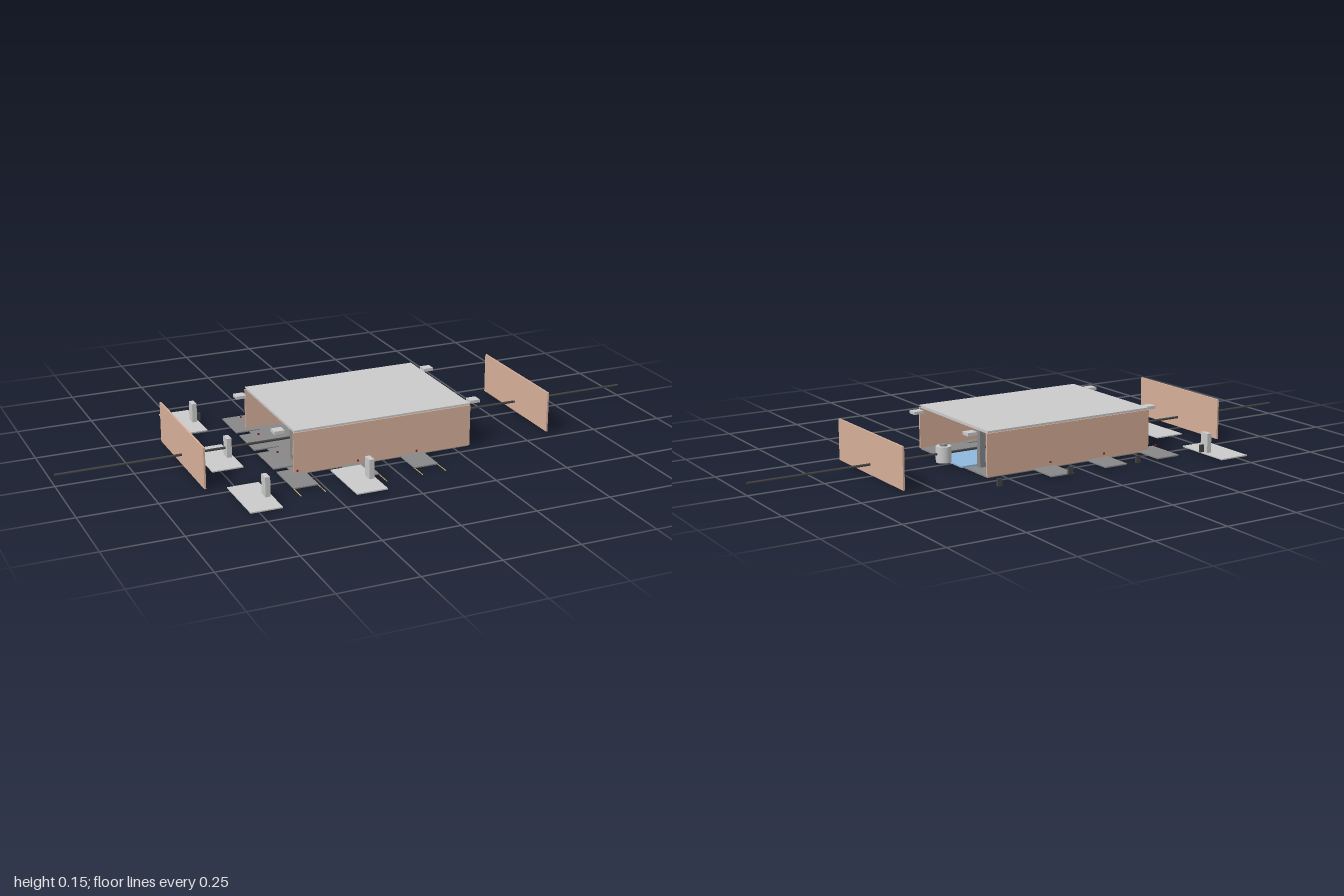
import * as THREE from 'three';

const mat = (color) => new THREE.MeshStandardMaterial({ color });
const grey = mat(0xcccccc);
const dark = mat(0x888888);
const black = mat(0x444444);
const tan = mat(0xd8b09a);
const blue = mat(0x8fb8de);
const red = mat(0x7a2020);
const yellow = mat(0xc8b060);

export function createModel() {
  const root = new THREE.Group();

  const add = (name, geometry, material, x, y, z) => {
    const mesh = new THREE.Mesh(geometry, material);
    mesh.name = name;
    mesh.position.set(x, y, z);
    root.add(mesh);
    return mesh;
  };
  // Box given by its lowest and highest corner
  const box = (name, material, x0, x1, y0, y1, z0, z1) =>
    add(name, new THREE.BoxGeometry(x1 - x0, y1 - y0, z1 - z0), material,
      (x0 + x1) / 2, (y0 + y1) / 2, (z0 + z1) / 2);

  // Case: floor, lid with inner step, two long walls; the ends are open
  box('floor', dark, -0.302, 0.302, 0, 0.005, -0.212, 0.212);
  box('lid', grey, -0.302, 0.302, 0.145, 0.149, -0.217, 0.217);
  box('lidStep', grey, -0.3, 0.3, 0.139, 0.145, -0.212, 0.212);
  for (const s of [-1, 1]) {
    const z = s * 0.213;
    box('longWall', tan, -0.305, 0.305, 0.004, 0.141, z - 0.003, z + 0.003);
  }

  // End panels pulled away from the case, and the rod through them
  for (const s of [-1, 1]) {
    const x = s * 0.592;
    box('endPanel', tan, x - 0.003, x + 0.003, 0.005, 0.14, -0.215, 0.215);
  }
  add('axisRod', new THREE.CylinderGeometry(0.004, 0.004, 2, 12), black, 0, 0.038, 0)
    .rotation.z = Math.PI / 2;

  // Corner clips under the lid edge
  for (const sx of [-1, 1]) for (const sz of [-1, 1]) {
    const x = sx * 0.338, z = sz * 0.17;
    box('cornerClip', grey, x - 0.017, x + 0.017, 0.133, 0.143, z - 0.016, z + 0.016);
  }

  // Tray and round fitting at the left end
  box('tray', blue, 0.15, 0.32, 0.006, 0.011, -0.085, 0.085);
  add('fitting', new THREE.CylinderGeometry(0.025, 0.025, 0.052, 24), grey, 0.336, 0.036, 0);
  add('fittingCap', new THREE.CylinderGeometry(0.012, 0.012, 0.006, 16), dark, 0.336, 0.065, 0);

  // Inner posts between floor and lid
  for (const s of [-1, 1]) {
    const x = s * 0.257, z = -s * 0.1;
    box('innerPost', dark, x - 0.01, x + 0.01, 0.005, 0.139, z - 0.01, z + 0.01);
  }

  // Dark foot pads with a small pin above each
  const footPad = (x, z) => {
    box('footPad', dark, x - 0.041, x + 0.041, 0.004, 0.008, z - 0.07, z + 0.07);
    add('pin', new THREE.CylinderGeometry(0.003, 0.003, 0.005, 8), red, x, 0.031, z);
  };
  for (const x of [-0.307, -0.104, 0.098]) {
    for (const z of [-0.252, 0.252]) footPad(x, z);
    // Wires running forward from the pad edges
    for (const s of [-1, 1]) {
      const wx = x + s * 0.04;
      box('wire', yellow, wx - 0.001, wx + 0.001, 0.004, 0.006, 0.32, 0.38);
    }
  }
  for (const z of [-0.085, 0.085]) footPad(-0.307, z);

  // Large pads, each carrying an upright block
  for (const [x, z] of [[-0.479, -0.342], [-0.479, 0], [-0.479, 0.338], [-0.139, 0.338]]) {
    box('basePad', grey, x - 0.051, x + 0.051, 0.005, 0.009, z - 0.102, z + 0.102);
    const px = x + 0.036;
    box('uprightBlock', grey, px - 0.008, px + 0.008, 0.007, 0.073, z - 0.017, z + 0.017);
  }

  // Row of small loose blocks behind the case
  for (let i = 0; i < 4; i++) {
    const x = -0.428 + i * 0.2545;
    box('smallBlock', black, x - 0.008, x + 0.008, 0.01, 0.034, -0.343, -0.335);
  }

  return root;
}
